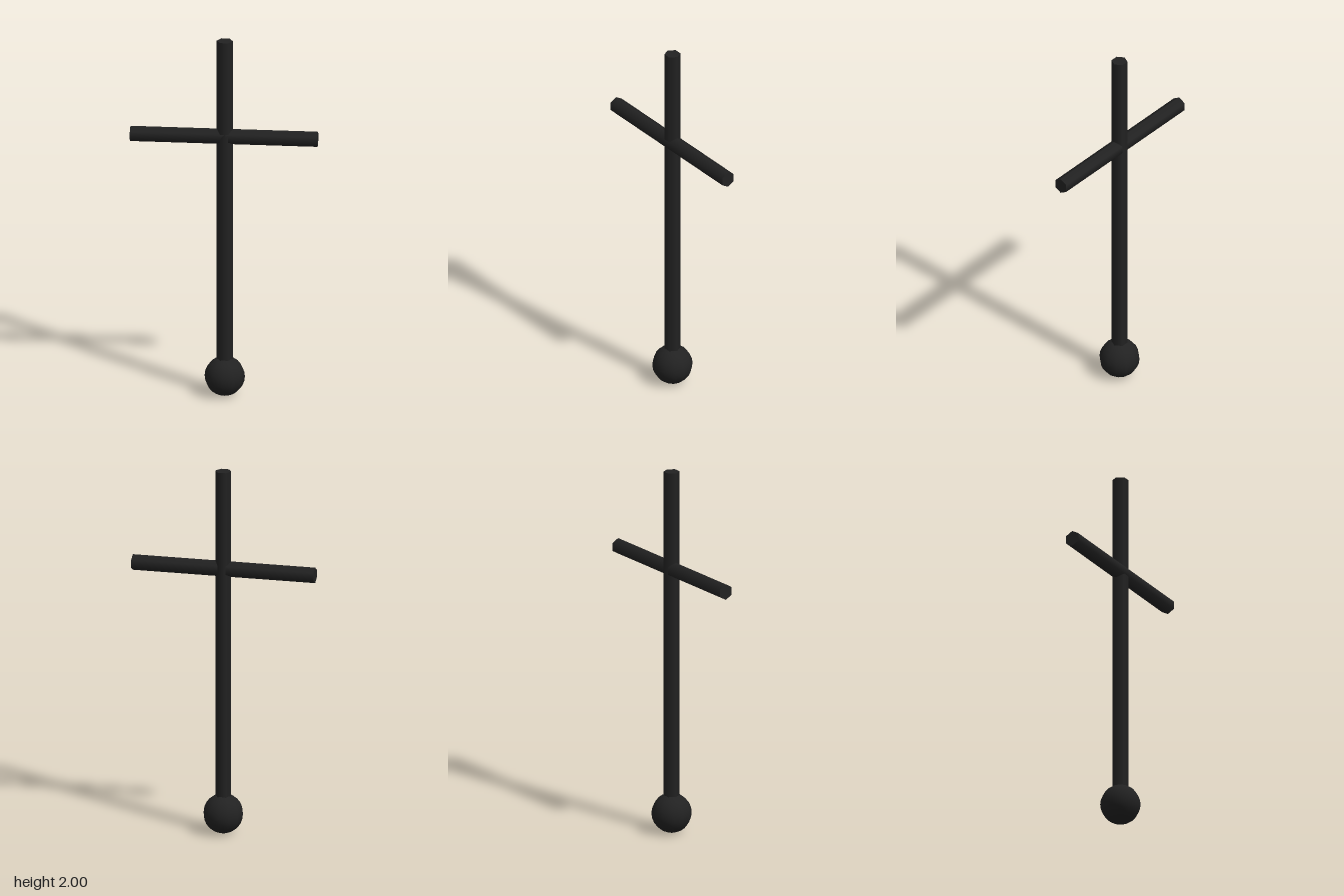
import * as THREE from 'three';

export function createModel() {
  const group = new THREE.Group();
  const black = new THREE.MeshStandardMaterial({ color: 0x222222 });
  black.name = 'matte black';
  const AXIS_X = 0.004; // upright sits a hair off the crossbar's middle

  const add = (name, geometry, x, y) => {
    const mesh = new THREE.Mesh(geometry, black);
    mesh.name = name;
    mesh.position.set(x, y, 0);
    group.add(mesh);
  };

  // Six-sided rod along y with corners pointing to +x and -x
  const rod = (length) =>
    new THREE.CylinderGeometry(0.043, 0.043, length, 6, 1, false, Math.PI / 2);

  // Upright, running from inside the ball to the top
  add('upright', rod(1.89), AXIS_X, 2 - 1.89 / 2);

  // Crossbar, laid along x with corners pointing up and down
  add('crossbar', rod(0.995).rotateZ(Math.PI / 2), 0, 1.46);

  // Ball at the foot
  add('ball', new THREE.SphereGeometry(0.107, 12, 12), AXIS_X, 0.107);

  return group;
}
